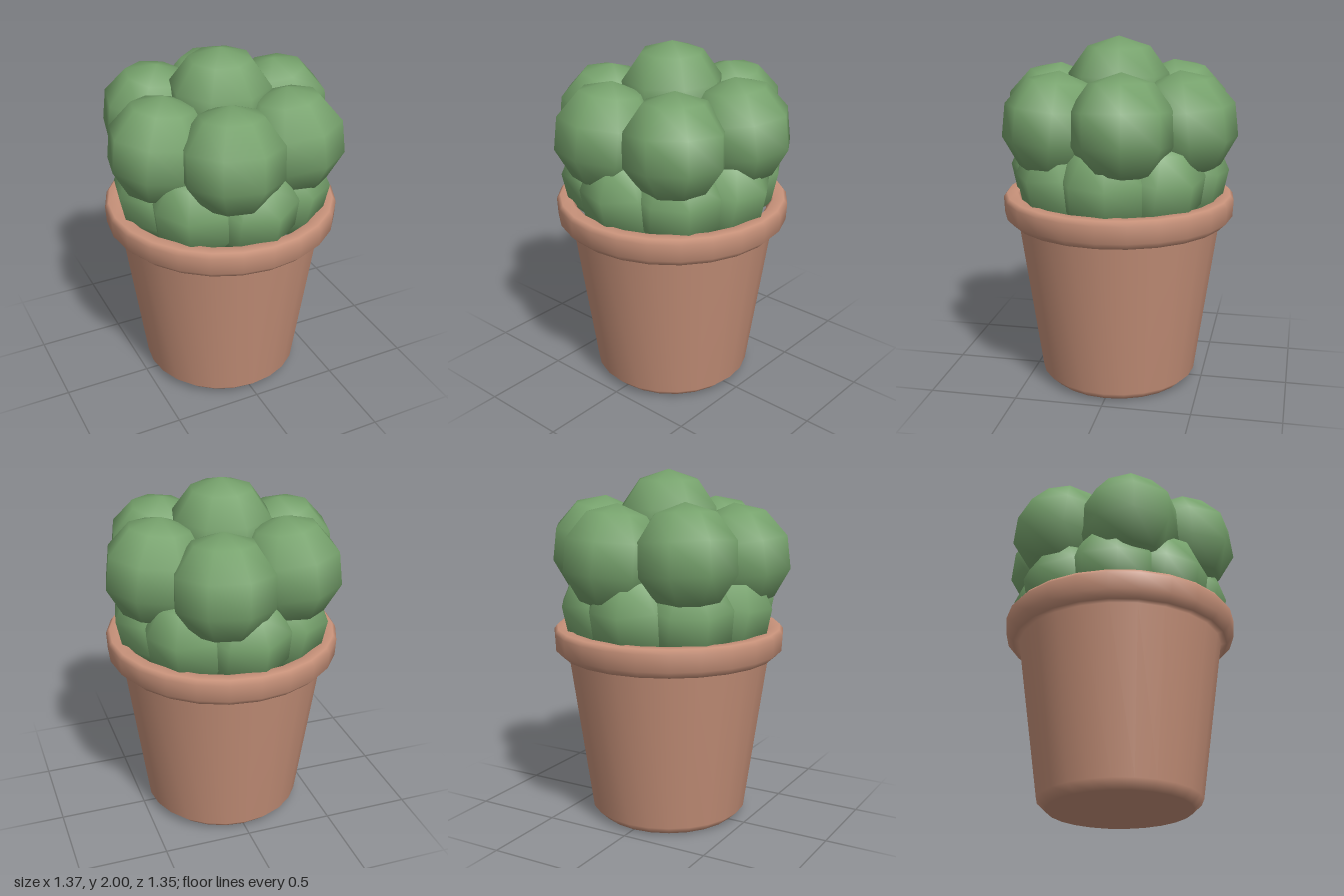
import * as THREE from 'three';

const deg = Math.PI / 180;

export function createModel() {
  const model = new THREE.Group();
  model.name = 'pottedShrub';

  const terracotta = new THREE.MeshStandardMaterial({ color: 0xc8927a });
  terracotta.name = 'terracotta';
  const leafGreen = new THREE.MeshStandardMaterial({ color: 0x76a26c });
  leafGreen.name = 'leafGreen';

  // Pot: tapered body, rolled rim and inner wall turned in one profile
  const profile = [
    [0, 0], [0.40, 0], [0.452, 0.05], [0.58, 0.955], [0.615, 0.96], [0.655, 1.0],
    [0.66, 1.095], [0.64, 1.12], [0.58, 1.12], [0.56, 1.10], [0.55, 1.0],
  ].map(([r, y]) => new THREE.Vector2(r, y));
  const pot = new THREE.Mesh(new THREE.LatheGeometry(profile, 24), terracotta);
  pot.name = 'pot';
  model.add(pot);

  // Foliage: rounded low-poly clumps sharing one shape
  const foliage = new THREE.Group();
  foliage.name = 'foliage';
  model.add(foliage);
  const clumpShape = new THREE.SphereGeometry(1, 8, 5);

  // A clump on a ring, leaning outward (positive tilt) or inward (negative)
  function addClump(name, radius, ringRadius, angle, y, tilt) {
    const c = Math.cos(angle * deg), s = Math.sin(angle * deg);
    const clump = new THREE.Mesh(clumpShape, leafGreen);
    clump.name = name;
    clump.scale.setScalar(radius);
    clump.quaternion.setFromAxisAngle(new THREE.Vector3(s, 0, -c), tilt * deg);
    clump.rotateY(-35 * deg);
    clump.position.set(ringRadius * c, y, ringRadius * s);
    foliage.add(clump);
  }

  // Lower ring, resting in the pot
  for (let i = 0; i < 8; i++) addClump('lowerClump', 0.28, 0.35, i * 45, 1.23, 12);

  // Upper ring, with slightly uneven heights
  [1.555, 1.54, 1.54, 1.53, 1.555, 1.54].forEach((y, i) =>
    addClump('upperClump', 0.295, 0.41, -13 + i * 60, y, -7));

  // Crown and a core that fills the middle
  addClump('crownClump', 0.295, 0, 0, 1.705, 0);
  addClump('coreClump', 0.36, 0, 0, 1.36, 0);

  return model;
}
